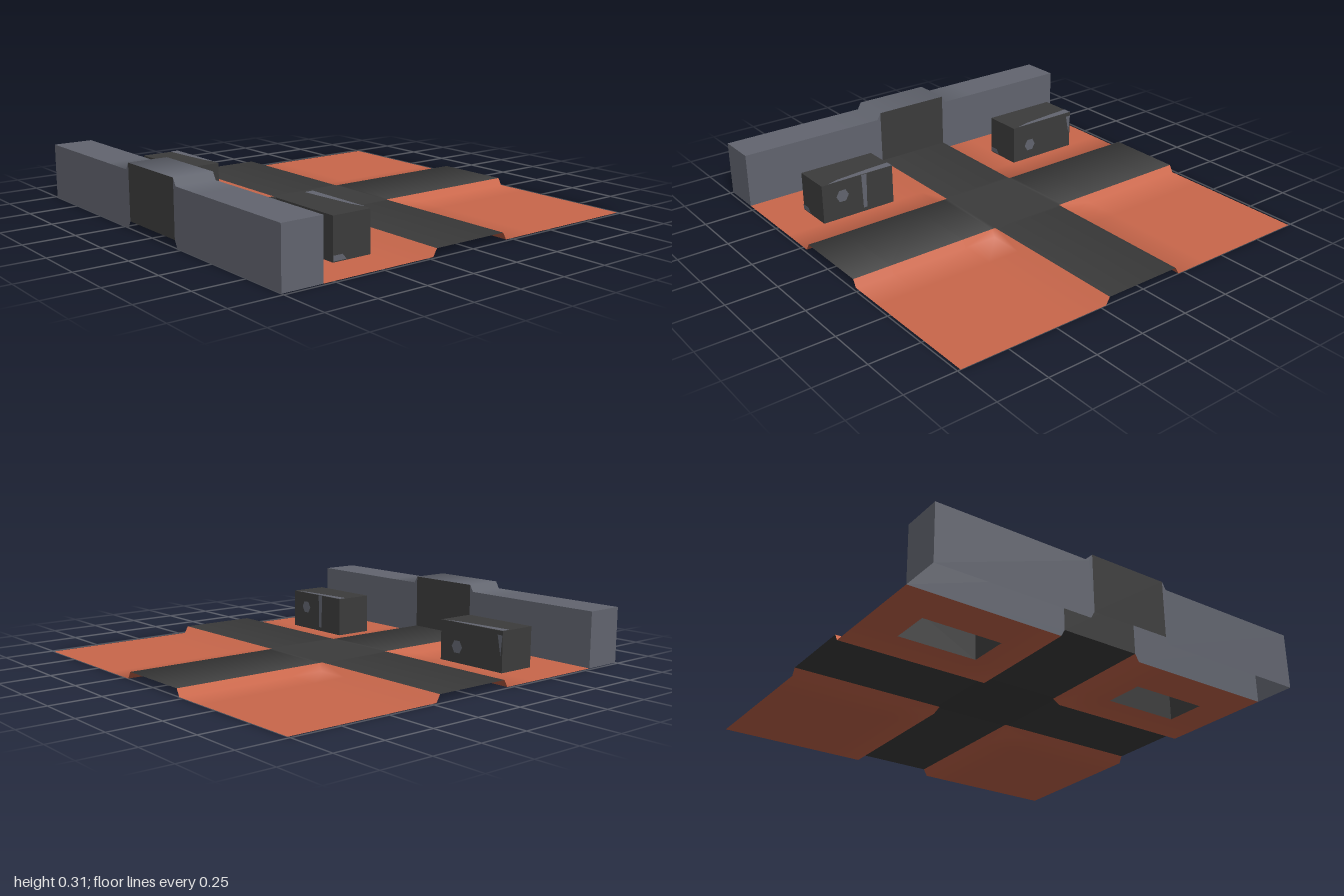
import * as THREE from 'three';

const mat = (name, color) => {
  const m = new THREE.MeshStandardMaterial({ color, side: THREE.DoubleSide });
  m.name = name;
  return m;
};

const RISE = 0.035, IN = 0.2, OUT = 0.22, EDGE = 0.985;
const onSlope = (v) => Math.abs(v) >= IN - 1e-6 && Math.abs(v) <= OUT + 1e-6;
const raised = (v) => Math.abs(v) <= IN + 1e-6;

// Height grid with softened slope normals; pick(x, z) gives the material index of a cell, or -1 for a hole
function grid(xs, zs, height, pick, materials) {
  const pos = [], nor = [], index = [];
  const geo = new THREE.BufferGeometry();
  for (const z of zs) for (const x of xs) {
    pos.push(x, height(x, z), z);
    const tx = onSlope(x) && Math.abs(z) > IN ? Math.sign(x) * 0.58 : 0;
    const tz = onSlope(z) && Math.abs(x) > IN ? Math.sign(z) * 0.58 : 0;
    nor.push(...new THREE.Vector3(tx, 1, tz).normalize().toArray());
  }
  const n = xs.length;
  materials.forEach((_, m) => {
    const start = index.length;
    for (let j = 0; j < zs.length - 1; j++) for (let i = 0; i < n - 1; i++) {
      if (pick((xs[i] + xs[i + 1]) / 2, (zs[j] + zs[j + 1]) / 2) !== m) continue;
      const a = j * n + i, b = a + 1, c = a + n, d = c + 1;
      // split so that the diagonal follows the slope corners
      if (xs[i] * zs[j] < 0) index.push(a, c, b, b, c, d);
      else index.push(a, c, d, a, d, b);
    }
    geo.addGroup(start, index.length - start, m);
  });
  geo.setAttribute('position', new THREE.Float32BufferAttribute(pos, 3));
  geo.setAttribute('normal', new THREE.Float32BufferAttribute(nor, 3));
  geo.setIndex(index);
  return new THREE.Mesh(geo, materials);
}

const polygon = (points) =>
  new THREE.ShapeGeometry(new THREE.Shape(points.map(([x, y]) => new THREE.Vector2(x, y))));

export function createModel() {
  const model = new THREE.Group();
  const orange = mat('terracotta', 0xc9674b);
  const grey = mat('slate grey', 0x62656f);
  const dark = mat('charcoal', 0x3c3c3c);
  const add = (parent, name, geo, material, x = 0, y = 0, z = 0) => {
    const mesh = new THREE.Mesh(geo, material);
    mesh.name = name;
    mesh.position.set(x, y, z);
    parent.add(mesh);
    return mesh;
  };

  // Floor sheet with a raised cross of paths and openings under the blocks
  const xs = [-EDGE, -0.79, -0.39, -OUT, -IN, IN, OUT, 0.39, 0.79, EDGE];
  const zs = [-1, -0.4, -OUT, -IN, IN, OUT, 0.4, 0.6, 0.8];
  const floor = grid(xs, zs,
    (x, z) => (raised(x) || raised(z) ? RISE : 0),
    (x, z) => {
      if (raised(x) || raised(z)) return 1;
      const ax = Math.abs(x);
      return ax > 0.39 && ax < 0.79 && z > 0.4 && z < 0.6 ? -1 : 0;
    },
    [orange, dark]);
  floor.name = 'floorWithPaths';
  model.add(floor);

  // Front wall, open underneath, stepping up over the path
  const wall = new THREE.Group();
  wall.name = 'frontWall';
  model.add(wall);
  const H = 0.275;
  const top = grid([-EDGE, -0.4, -OUT, -IN, IN, OUT, 0.4, EDGE], [0.8, 1],
    (x) => H + (raised(x) ? RISE : 0), () => 0, [grey]);
  top.name = 'wallTop';
  wall.add(top);
  for (const z of [0.8, 1]) {
    add(wall, 'wallGatePanel', new THREE.PlaneGeometry(2 * IN, H), dark, 0, RISE + H / 2, z);
    for (const s of [-1, 1]) {
      add(wall, 'wallSidePanel', polygon([
        [s * EDGE, 0], [s * OUT, 0], [s * IN, RISE],
        [s * IN, RISE + H], [s * OUT, H], [s * EDGE, H],
      ]), grey, 0, 0, z);
    }
  }
  for (const s of [-1, 1]) {
    add(wall, 'wallEnd', new THREE.PlaneGeometry(0.2, H), grey, s * EDGE, H / 2, 0.9)
      .rotation.y = s * Math.PI / 2;
  }

  // Two open-bottomed blocks with grey painted marks
  for (const s of [-1, 1]) {
    const block = new THREE.Group();
    block.name = s > 0 ? 'leftBlock' : 'rightBlock';
    block.position.set(s * 0.59, 0, 0.5);
    model.add(block);
    const box = new THREE.BoxGeometry(0.4, 0.2, 0.2);
    box.setIndex(Array.from(box.index.array).filter((_, i) => i < 18 || i >= 24));
    box.clearGroups();
    add(block, 'blockBody', box, dark, 0, 0.1, 0);
    // wedge along the back of the top
    add(block, 'topMark', polygon([[-0.2, 0.1], [-0.2, 0.055], [-0.08, 0.063], [0.1, 0.08], [0.17, 0.1]]),
      grey, 0, 0.202, 0).rotation.x = -Math.PI / 2;
    // six-sided spot and streak on the back
    add(block, 'backSpot', new THREE.CircleGeometry(0.035, 6), grey, 0.09, s > 0 ? 0.12 : 0.08, -0.102)
      .rotation.y = Math.PI;
    add(block, 'backStreak', s > 0
      ? polygon([[-0.05, 0.2], [-0.02, 0.2], [-0.025, 0.02], [-0.045, 0.02]])
      : polygon([[-0.2, 0.18], [-0.17, 0.18], [-0.19, 0.08]]), grey, 0, 0, -0.102);
    // small patch low on the outer end
    add(block, 'endMark', polygon([[-0.1, 0.005], [-0.1, 0.03], [-0.05, 0.03], [-0.03, 0.005]]),
      grey, 0.202, 0, 0).rotation.y = Math.PI / 2;
  }
  return model;
}
